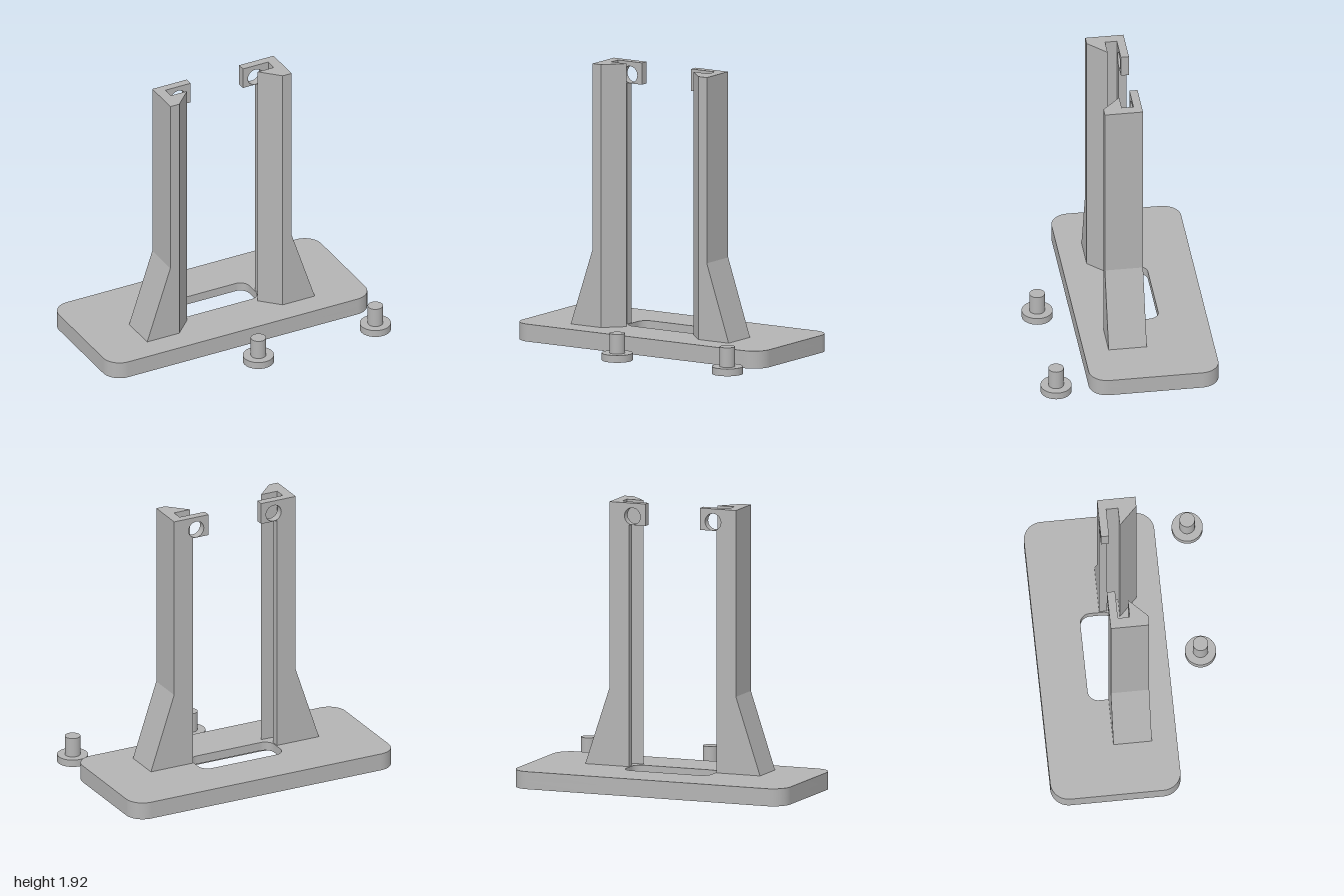
import * as THREE from 'three';
import { toCreasedNormals } from 'three/addons/utils/BufferGeometryUtils.js';

const BASE_H = 0.12, RECESS_H = 0.06, TOP = 1.925;

// Rounded rectangle from edges; works for both outlines and holes
function roundedRect(path, x0, x1, y0, y1, r) {
  path.absarc(x1 - r, y0 + r, r, -Math.PI / 2, 0);
  path.absarc(x1 - r, y1 - r, r, 0, Math.PI / 2);
  path.absarc(x0 + r, y1 - r, r, Math.PI / 2, Math.PI);
  path.absarc(x0 + r, y0 + r, r, Math.PI, Math.PI * 1.5);
  path.closePath();
  return path;
}

const polygon = (points) => new THREE.Shape(points.map(([x, y]) => new THREE.Vector2(x, y)));

function extrude(shape, depth) {
  const geo = new THREE.ExtrudeGeometry(shape, { depth, bevelEnabled: false, curveSegments: 16 });
  return toCreasedNormals(geo, 0.5);
}

// Extrudes a plan drawn as (x, -z) upward from y0 to y1
function extrudeUp(shape, y0, y1) {
  return extrude(shape, y1 - y0).rotateX(-Math.PI / 2).translate(0, y0, 0);
}

export function createModel() {
  const model = new THREE.Group();
  model.name = 'slottedStand';
  const grey = new THREE.MeshStandardMaterial({ color: 0xb4b4b4 });
  grey.name = 'grey plastic';

  function add(parent, name, geometry) {
    const mesh = new THREE.Mesh(geometry, grey);
    mesh.name = name;
    parent.add(mesh);
    return mesh;
  }

  // Base plate: narrow slot above, wider recess below
  const base = new THREE.Group();
  base.name = 'base';
  model.add(base);
  const plate = (hole) => {
    const shape = roundedRect(new THREE.Shape(), -1, 1, -0.275, 0.608, 0.125);
    shape.holes.push(hole);
    return shape;
  };
  const recess = roundedRect(new THREE.Path(), -0.42, 0.42, -0.05, 0.4, 0.12);
  const slot = roundedRect(new THREE.Path(), -0.313, 0.313, 0.06, 0.29, 0.07);
  add(base, 'recessedLowerPlate', extrudeUp(plate(recess), 0, RECESS_H));
  add(base, 'slottedUpperPlate', extrudeUp(plate(slot), RECESS_H, BASE_H));

  // Mirrored posts, each a channel with a flared foot and a pierced tab
  for (const s of [-1, 1]) {
    const post = new THREE.Group();
    post.name = s > 0 ? 'leftPost' : 'rightPost';
    model.add(post);

    const channel = polygon([
      [s * 0.463, -0.105], [s * 0.395, -0.105], [s * 0.27, 0.02], [s * 0.393, 0.02],
      [s * 0.393, 0.1], [s * 0.32, 0.1], [s * 0.32, 0.155], [s * 0.463, 0.155],
    ]);
    // Upright stops under the tab zone, where the back wall is pierced
    add(post, 'channelUpright', extrudeUp(channel, BASE_H, 1.775));

    const head = polygon([
      [s * 0.463, -0.105], [s * 0.395, -0.105], [s * 0.27, 0.02], [s * 0.393, 0.02],
      [s * 0.393, 0.155], [s * 0.463, 0.155],
    ]);
    add(post, 'channelHead', extrudeUp(head, 1.775, TOP));

    const tab = polygon([
      [s * 0.393, 1.775], [s * 0.2, 1.775], [s * 0.2, TOP], [s * 0.393, TOP],
    ]);
    tab.holes.push(new THREE.Path().absarc(s * 0.295, 1.835, 0.058, 0, Math.PI * 2));
    add(post, 'piercedTab', extrude(tab, 0.055).translate(0, 0, -0.155));

    const foot = polygon([[s * 0.64, BASE_H], [s * 0.463, BASE_H], [s * 0.463, 0.65]]);
    add(post, 'flaredFoot', extrude(foot, 0.26).translate(0, 0, -0.155));
  }

  // Loose pins standing in front of the base
  for (const x of [0, 0.893]) {
    const pin = new THREE.Group();
    pin.name = 'pin';
    pin.position.set(x, 0, 0.5);
    model.add(pin);
    add(pin, 'pinHead', new THREE.CylinderGeometry(0.105, 0.105, 0.05, 48)).position.y = 0.025;
    add(pin, 'pinShaft', new THREE.CylinderGeometry(0.052, 0.052, 0.135, 40)).position.y = 0.1175;
  }

  return model;
}
